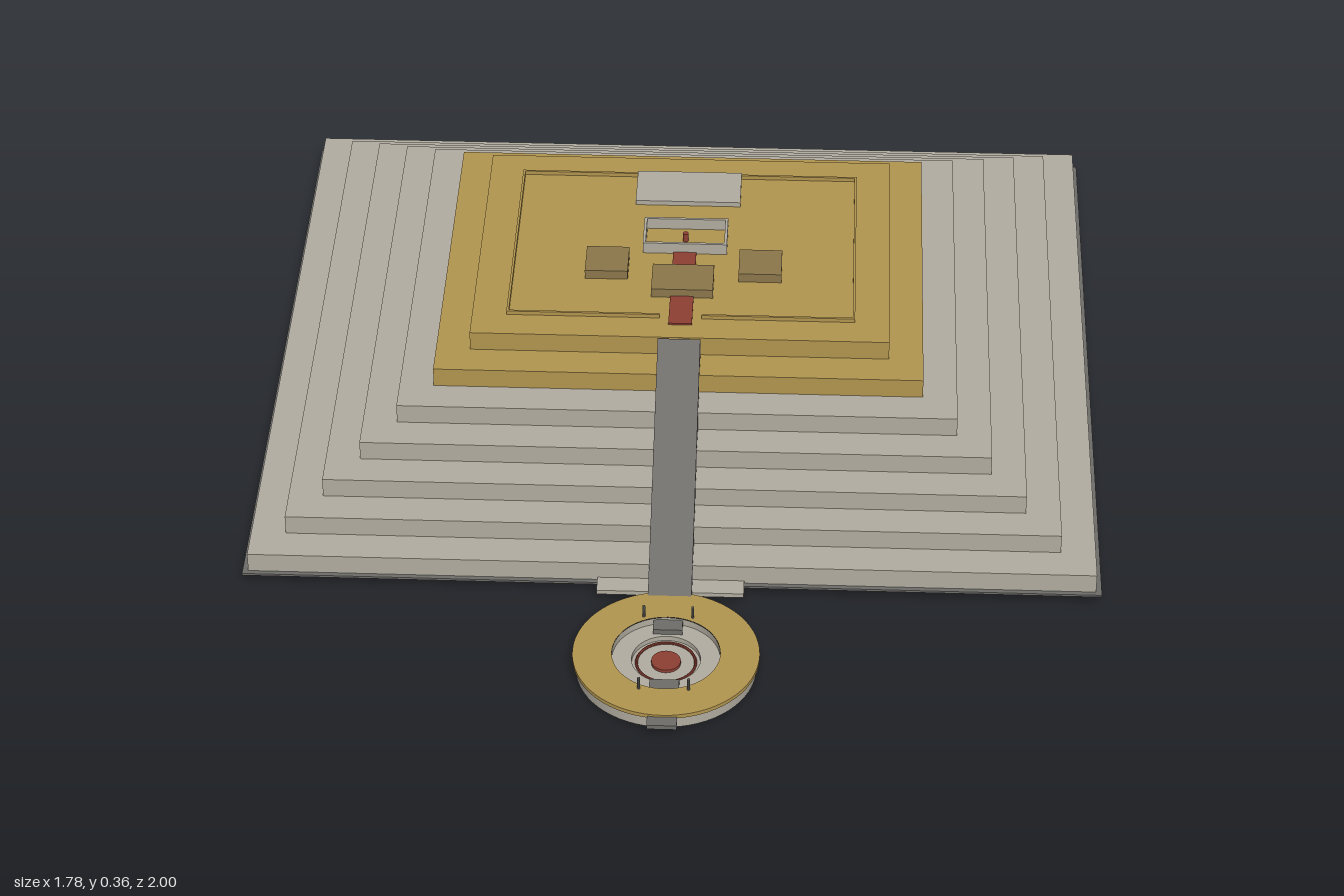
import * as THREE from 'three';

const COLORS = { stone: 0xb2ada1, gold: 0xb39650, dark: 0x6e6d6a, brown: 0x8b774b, red: 0x8e4034 };
const mats = {};
for (const [k, color] of Object.entries(COLORS)) {
  mats[k] = new THREE.MeshStandardMaterial({ color, flatShading: k !== 'gold' && k !== 'stone' });
}

export function createModel() {
  const model = new THREE.Group();
  model.name = 'steppedPyramid';

  const add = (name, geo, mat) => {
    const m = new THREE.Mesh(geo, mats[mat]);
    m.name = name;
    model.add(m);
    return m;
  };
  // Box given by its limits on each axis
  const box = (name, mat, x0, x1, y0, y1, z0, z1) => {
    const m = add(name, new THREE.BoxGeometry(x1 - x0, y1 - y0, z1 - z0), mat);
    m.position.set((x0 + x1) / 2, (y0 + y1) / 2, (z0 + z1) / 2);
    return m;
  };

  // Ground plate and seven shrinking terraces, the top two gold
  box('groundPlate', 'dark', -0.89, 0.89, 0.023, 0.028, -1, 0.56);
  const rise = 0.0435, inset = 0.0725;
  for (let i = 0; i < 7; i++) {
    const hx = 0.878 - i * inset;
    box('terrace' + (i + 1), i > 4 ? 'gold' : 'stone', -hx, hx,
      0.028 + i * rise, 0.028 + (i + 1) * rise, -0.986 + i * inset, 0.55 - i * inset);
  }
  const top = 0.028 + 7 * rise;

  // Front ramp: a solid wedge running up the terraces
  const profile = new THREE.Shape([
    new THREE.Vector2(0.612, 0.026), new THREE.Vector2(0.612, 0.034),
    new THREE.Vector2(0.125, top + 0.004), new THREE.Vector2(0.125, 0.026),
  ]);
  const ramp = add('stairRamp', new THREE.ExtrudeGeometry(profile, { depth: 0.09, bevelEnabled: false }), 'dark');
  ramp.rotation.y = -Math.PI / 2;
  ramp.position.x = 0.045;
  box('rampLanding', 'stone', -0.152, 0.152, 0.024, 0.034, 0.55, 0.592);

  // Low kerb around the summit with a gap at the ramp
  const t = 0.005, kx = 0.37, kz0 = -0.482, kz1 = 0.047, kt = top + 0.009;
  box('kerbBack', 'gold', -kx, kx, top, kt, kz0, kz0 + t);
  for (const s of [-1, 1]) {
    const xs = [s * kx, s * (kx - t)].sort((a, b) => a - b);
    box('kerbSide', 'gold', xs[0], xs[1], top, kt, kz0, kz1);
    const xf = [s * 0.045, s * kx].sort((a, b) => a - b);
    box('kerbFront', 'gold', xf[0], xf[1], top, kt, kz1 - t, kz1);
  }

  // Summit furnishings
  box('backPlatform', 'stone', -0.115, 0.115, top, top + 0.011, -0.485, -0.37);
  box('carpet', 'red', -0.025, 0.025, top, top + 0.004, -0.2, 0.07);
  box('centreAltar', 'brown', -0.066, 0.066, top, top + 0.021, -0.12, -0.028);
  for (const s of [-1, 1]) {
    box('sideAltar', 'brown', s * 0.165 - 0.046, s * 0.165 + 0.046, top, top + 0.021, -0.18, -0.09);
  }

  // Open enclosure with a small marker inside
  const eTop = top + 0.026;
  box('enclosureBack', 'stone', -0.091, 0.091, top, eTop, -0.287, -0.281);
  box('enclosureFront', 'stone', -0.091, 0.091, top, eTop, -0.195, -0.189);
  for (const s of [-1, 1]) {
    box('enclosureSide', 'stone', s * 0.088 - 0.003, s * 0.088 + 0.003, top, eTop, -0.281, -0.195);
  }
  const marker = add('marker', new THREE.CylinderGeometry(0.006, 0.006, 0.02, 12), 'red');
  marker.position.set(0, top + 0.01, -0.238);

  // Round sunken court in front: stepped stone bowl under a gold rim
  const cz = 0.785;
  const lathe = (name, mat, pts) => {
    // Each segment is its own band so the edges stay sharp
    for (let i = 0; i < pts.length - 1; i++) {
      const band = [pts[i], pts[i + 1]].map(p => new THREE.Vector2(...p));
      add(name, new THREE.LatheGeometry(band, 64), mat).position.z = cz;
    }
  };
  lathe('courtBowl', 'stone', [[0, 0], [0.184, 0], [0.184, 0.028]]);
  lathe('courtFloor', 'stone', [[0.11, 0.036], [0.11, 0.02], [0.07, 0.02], [0.07, 0.009], [0, 0.009]]);
  lathe('courtRim', 'gold', [[0.184, 0.028], [0.19, 0.028], [0.19, 0.037], [0.11, 0.037]]);

  // Red inlay ring and centre disc
  const ring = add('inlayRing', new THREE.TorusGeometry(0.06, 0.003, 8, 64), 'red');
  ring.rotation.x = Math.PI / 2;
  ring.position.set(0, 0.011, cz);
  add('centreDisc', new THREE.CylinderGeometry(0.03, 0.03, 0.008, 32), 'red').position.set(0, 0.012, cz);

  // Steps into the court, each with a pair of posts
  for (const s of [-1, 1]) {
    const z = cz + s * 0.092;
    box('courtStep', 'dark', -0.03, 0.03, 0.01, 0.032, z - 0.016, z + 0.016);
    for (const x of [-0.05, 0.05]) {
      const post = add('post', new THREE.CylinderGeometry(0.003, 0.003, 0.045, 8), 'dark');
      post.position.set(x, 0.0425, cz + s * 0.111);
    }
  }
  box('entryStep', 'dark', -0.03, 0.03, 0.022, 0.032, 0.955, 1);

  return model;
}
